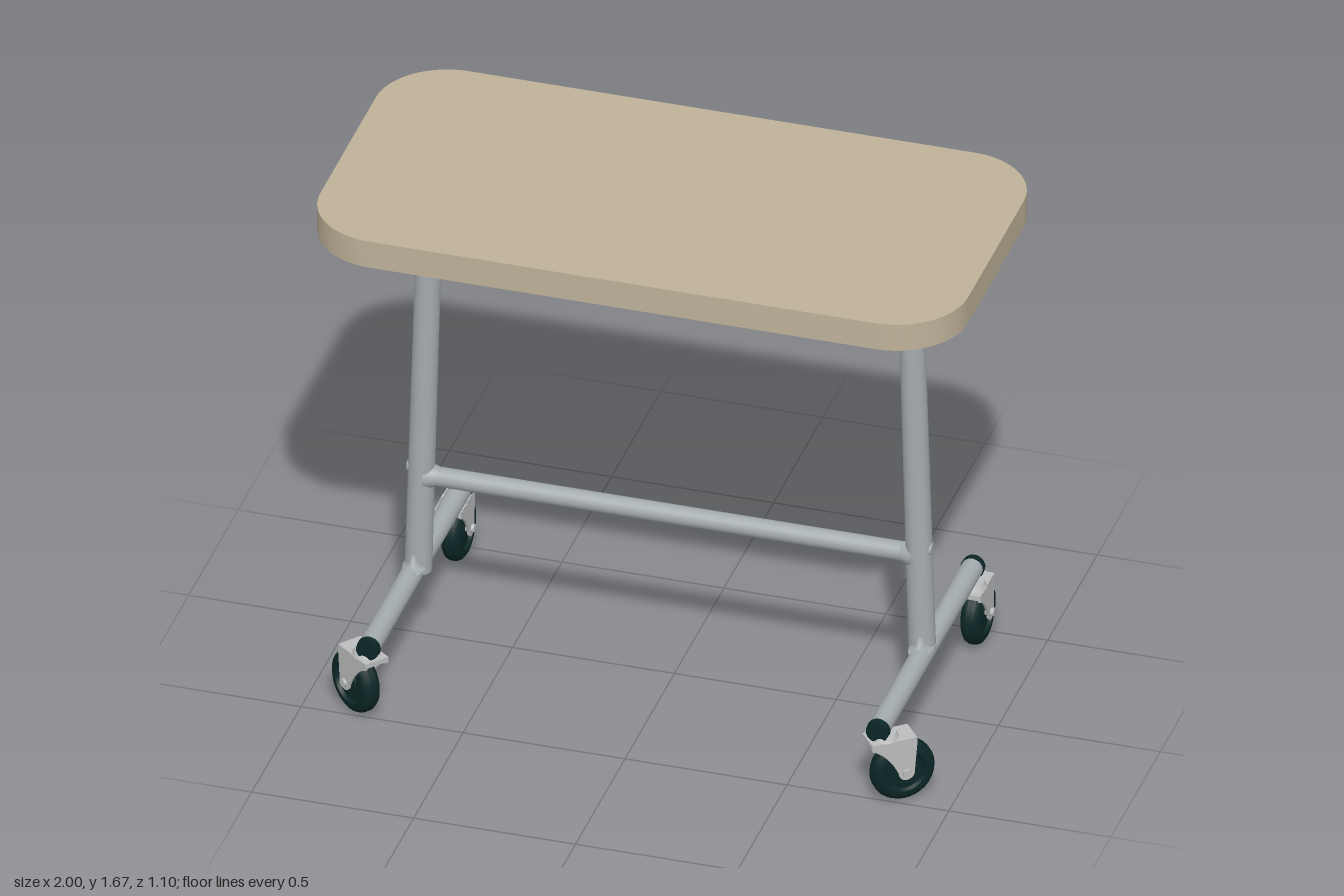
import * as THREE from 'three';
import { toCreasedNormals } from 'three/addons/utils/BufferGeometryUtils.js';

const material = (name, color) => {
  const m = new THREE.MeshStandardMaterial({ color });
  m.name = name;
  return m;
};

export function createModel() {
  const wood = material('tan laminate', 0xbfb299);
  const tube = material('grey tube', 0xa4abaf);
  const bracket = material('pale bracket metal', 0xbcbdbe);
  const rubber = material('dark rubber', 0x0c2626);

  const model = new THREE.Group();
  model.name = 'rollingTable';

  const add = (parent, name, geometry, mat, x = 0, y = 0, z = 0) => {
    const mesh = new THREE.Mesh(geometry, mat);
    mesh.name = name;
    mesh.position.set(x, y, z);
    parent.add(mesh);
    return mesh;
  };

  // Round bar between two points, with a radius at each end
  const bar = (parent, name, a, b, ra, rb, mat) => {
    const from = new THREE.Vector3(...a), to = new THREE.Vector3(...b);
    const dir = to.clone().sub(from);
    const mesh = add(parent, name, new THREE.CylinderGeometry(rb, ra, dir.length(), 24), mat);
    mesh.position.copy(from).add(to).multiplyScalar(0.5);
    mesh.quaternion.setFromUnitVectors(new THREE.Vector3(0, 1, 0), dir.normalize());
    return mesh;
  };

  // Table top: rounded rectangle slab
  const w = 1, d = 0.5, r = 0.22;
  const outline = new THREE.Shape();
  outline.absarc(w - r, d - r, r, 0, Math.PI / 2);
  outline.absarc(-w + r, d - r, r, Math.PI / 2, Math.PI);
  outline.absarc(-w + r, -d + r, r, Math.PI, Math.PI * 1.5);
  outline.absarc(w - r, -d + r, r, Math.PI * 1.5, Math.PI * 2);
  const slab = new THREE.ExtrudeGeometry(outline, { depth: 0.09, bevelEnabled: false, curveSegments: 14 });
  slab.rotateX(-Math.PI / 2);
  add(model, 'tableTop', toCreasedNormals(slab, 0.6), wood, 0, 1.58, 0.025);

  // Wheel profile: recessed hub, rim and rounded tread
  const half = [[0, 0.024], [0.03, 0.024], [0.034, 0.02], [0.06, 0.02], [0.066, 0.03], [0.08, 0.03], [0.094, 0.021], [0.1, 0.009]];
  const profile = [
    ...half.map(([u, v]) => new THREE.Vector2(u, -v)),
    ...half.slice().reverse().map(([u, v]) => new THREE.Vector2(u, v)),
  ];
  const wheelGeo = toCreasedNormals(new THREE.LatheGeometry(profile, 32).rotateZ(Math.PI / 2), 0.7);

  // Fork cheek: wide at the swivel, tapering to the axle
  const cheek = new THREE.Shape();
  cheek.moveTo(-0.055, 0.22);
  cheek.lineTo(-0.055, 0.2);
  cheek.quadraticCurveTo(-0.005, 0.18, 0.03, 0.105);
  cheek.absarc(0.055, 0.105, 0.025, Math.PI, Math.PI * 2);
  cheek.lineTo(0.088, 0.2);
  cheek.lineTo(0.088, 0.22);
  cheek.closePath();
  const cheekGeo = new THREE.ExtrudeGeometry(cheek, { depth: 0.007, bevelEnabled: false, curveSegments: 8 });
  cheekGeo.rotateY(Math.PI / 2);

  // Swivelling caster; it trails toward local -z, axle along local x
  const caster = (name, x, z, yaw) => {
    const g = new THREE.Group();
    g.name = name;
    g.position.set(x, 0, z);
    g.rotation.y = yaw;
    add(g, 'wheel', wheelGeo, rubber, 0, 0.1, -0.055);
    add(g, 'forkCheek', cheekGeo, bracket, 0.034, 0, 0);
    add(g, 'forkCheek', cheekGeo, bracket, -0.041, 0, 0);
    add(g, 'forkTop', new THREE.BoxGeometry(0.08, 0.016, 0.143), bracket, 0, 0.213, -0.0165);
    add(g, 'swivel', new THREE.CylinderGeometry(0.034, 0.044, 0.02, 20), bracket, 0, 0.229, 0);
    bar(g, 'axle', [-0.05, 0.105, -0.055], [0.05, 0.105, -0.055], 0.013, 0.013, bracket);
    model.add(g);
  };

  const legZ = 0.042, railX = 0.787, railY = 0.252;
  for (const s of [-1, 1]) {
    const side = s > 0 ? 'left' : 'right';

    // Leaning upright and its flared weld on the foot rail
    bar(model, side + 'Leg', [s * 0.778, 0.25, legZ], [s * 0.74, 1.582, legZ], 0.041, 0.038, tube);
    const flare = [[0.095, 0], [0.07, 0.008], [0.052, 0.02], [0.042, 0.045]].map((p) => new THREE.Vector2(...p));
    const weld = add(model, side + 'Weld', new THREE.LatheGeometry(flare, 24), tube, s * 0.782, 0.272, legZ);
    weld.scale.x = 0.4;
    weld.material.side = THREE.DoubleSide;

    // Foot rail with dark end caps
    bar(model, side + 'FootRail', [s * railX, railY, -0.44], [s * railX, railY, 0.515], 0.033, 0.033, tube);
    bar(model, side + 'FrontCap', [s * railX, railY, 0.51], [s * railX, railY, 0.532], 0.036, 0.034, rubber);
    bar(model, side + 'BackCap', [s * railX, railY, -0.455], [s * railX, railY, -0.433], 0.034, 0.036, rubber);

    // Bolt head and collar where the crossbar meets the leg
    bar(model, side + 'CrossbarBolt', [s * 0.79, 0.605, legZ], [s * 0.81, 0.605, legZ], 0.024, 0.018, tube);
    bar(model, side + 'CrossbarCollar', [s * 0.755, 0.58, legZ], [s * 0.715, 0.58, legZ], 0.042, 0.03, tube);

    // Front casters are turned outward, back ones run straight
    caster(side + 'FrontCaster', s * 0.8, 0.495, s * -0.9);
    caster(side + 'BackCaster', s * 0.802, -0.388, 0);
  }

  // Crossbar between the legs
  bar(model, 'crossbar', [-0.76, 0.58, legZ], [0.76, 0.58, legZ], 0.03, 0.03, tube);

  return model;
}
